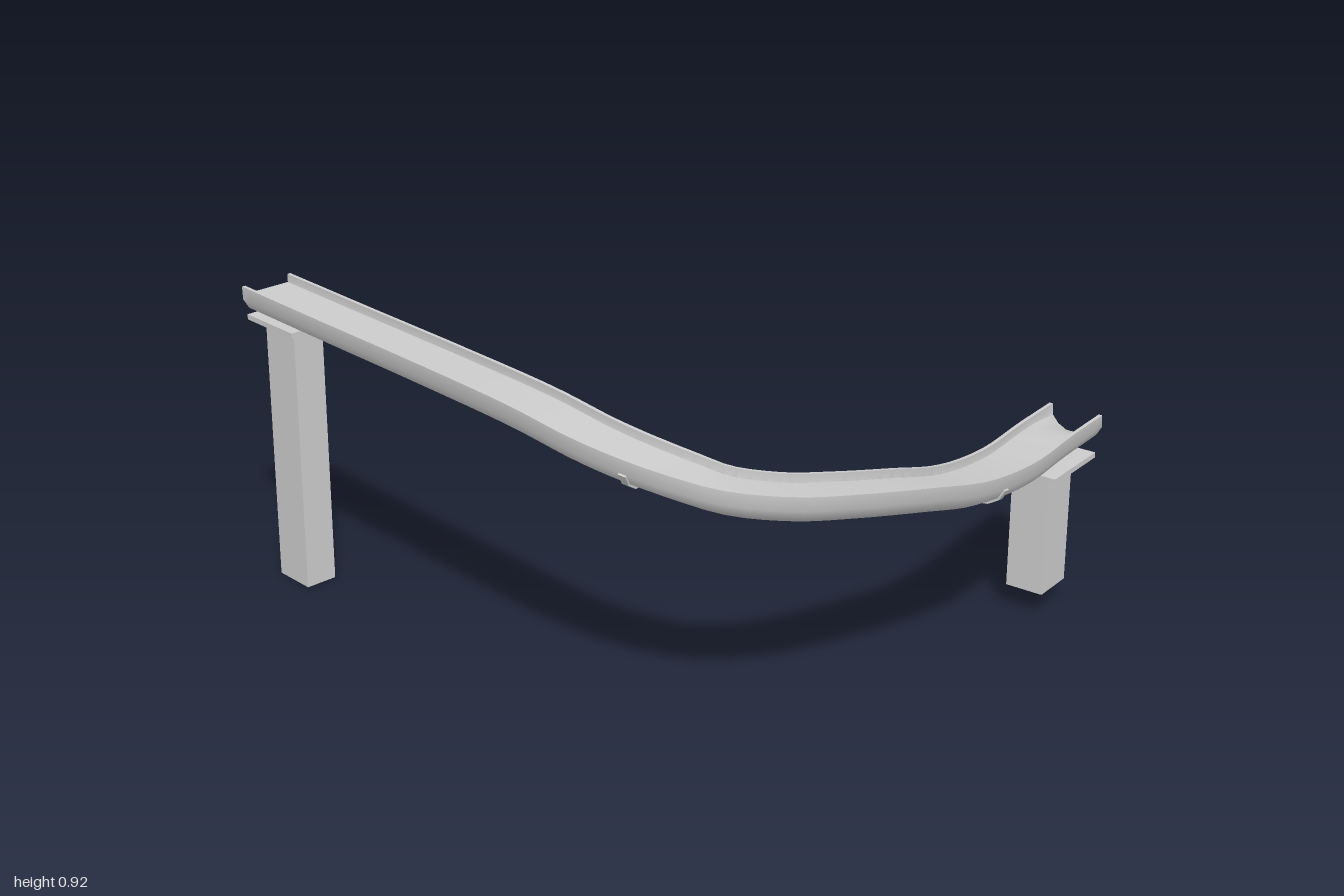
import * as THREE from 'three';
import { toCreasedNormals } from 'three/addons/utils/BufferGeometryUtils.js';

const grey = () => new THREE.MeshStandardMaterial({ color: 0xcccccc, side: THREE.DoubleSide });

// Rim-level centre line of the chute
const path = new THREE.CatmullRomCurve3([
  [-0.77, 0.915, -1], [-0.77, 0.912, -0.6], [-0.77, 0.91, -0.2], [-0.77, 0.903, 0.2],
  [-0.755, 0.877, 0.43], [-0.725, 0.857, 0.57], [-0.68, 0.835, 0.68], [-0.61, 0.805, 0.77],
  [-0.47, 0.77, 0.85], [-0.3, 0.735, 0.89], [-0.06, 0.68, 0.908], [0.15, 0.625, 0.897],
  [0.4, 0.585, 0.85], [0.65, 0.573, 0.785], [0.835, 0.57, 0.747],
].map((p) => new THREE.Vector3(...p)));

// Sweep a cross-section [side, height] along the path; the far end leans outwards below
function sweep(section, u0, u1, steps, closed) {
  const pos = [], index = [];
  const n = section(0).length;
  for (let i = 0; i <= steps; i++) {
    const u = u0 + (u1 - u0) * i / steps;
    const p = path.getPointAt(u), t = path.getTangentAt(u).setY(0).normalize();
    const lean = THREE.MathUtils.smoothstep(u, 0.96, 1) * 0.17;
    for (const [s, h] of section(u)) {
      pos.push(p.x + t.z * s - t.x * h * lean, p.y + h, p.z - t.x * s - t.z * h * lean);
    }
  }
  const strips = closed ? n : n - 1;
  for (let i = 0; i < steps; i++) {
    for (let j = 0; j < strips; j++) {
      const a = i * n + j, b = i * n + (j + 1) % n;
      index.push(a, b, a + n, b, b + n, a + n);
    }
  }
  // End faces join the outer half of a closed section to its inner half
  if (closed) {
    for (let j = 0; j < n / 2 - 1; j++) {
      const k = n - 1 - j, e = steps * n;
      index.push(j, k, j + 1, j + 1, k, k - 1);
      index.push(e + j, e + j + 1, e + k, e + j + 1, e + k - 1, e + k);
    }
  }
  const g = new THREE.BufferGeometry();
  g.setAttribute('position', new THREE.Float32BufferAttribute(pos, 3));
  g.setIndex(index);
  return toCreasedNormals(g, 0.6);
}

// U-shaped half profile mirrored to a full one, from -side to +side
const mirror = (half) => [...half.map(([s, h]) => [-s, h]), ...half.slice(0, -1).reverse()];
const outer = mirror([[0.085, 0], [0.084, -0.04], [0.066, -0.07], [0.035, -0.088], [0, -0.093]]);
const inner = mirror([[0.074, 0], [0.074, -0.038], [0.058, -0.062], [0.031, -0.079], [0, -0.083]]);
const shell = [...outer, ...inner.slice().reverse()];
const band = [
  ...outer.slice(1, -1).map(([s, h]) => [s * 1.05, h * 1.08]),
  ...outer.slice(1, -1).reverse(),
];

export function createModel() {
  const model = new THREE.Group();
  const add = (name, geometry, parent = model) => {
    const mesh = new THREE.Mesh(geometry, grey());
    mesh.name = name;
    parent.add(mesh);
    return mesh;
  };

  add('chute', sweep(() => shell, 0, 1, 72, true));

  // Flat running surface that rolls down into the trough at the exit
  add('slideSurface', sweep((u) => {
    const k = Math.pow(THREE.MathUtils.clamp((u - 0.95) / 0.05, 0, 1), 2);
    return inner.slice(1, -1).map(([s, h], j, all) => {
      const flat = -0.074 + 0.148 * j / (all.length - 1);
      return [THREE.MathUtils.lerp(flat, s, k), THREE.MathUtils.lerp(-0.025, h, k)];
    });
  }, 0, 1, 96, false));

  // Joint bands beneath the chute
  for (const u of [0.472, 0.815]) add('jointBand', sweep(() => band, u - 0.003, u + 0.003, 2, true));

  // Supports: a plate on a column
  function support(name, x, z, turn, plate, plateY, column, y0, y1, lean) {
    const g = new THREE.Group();
    g.name = name;
    g.position.set(x, 0, z);
    g.rotation.y = turn;
    model.add(g);
    add('supportPlate', new THREE.BoxGeometry(plate[0], 0.016, plate[1]), g).position.y = plateY;
    const geo = new THREE.BoxGeometry(column[0], y1 - y0, column[1]);
    geo.translate(0, (y0 + y1) / 2, 0);
    const p = geo.attributes.position;
    for (let i = 0; i < p.count; i++) p.setX(i, p.getX(i) + lean * (p.getY(i) - y1));
    geo.computeVertexNormals();
    add('supportColumn', geo, g);
  }
  support('tallSupport', -0.768, -0.875, 0, [0.17, 0.22], 0.825, [0.1, 0.138], 0, 0.82, 0.014);
  support('shortSupport', 0.663, 0.77, 0.17, [0.24, 0.212], 0.468, [0.135, 0.118], 0.075, 0.462, 0);

  return model;
}
